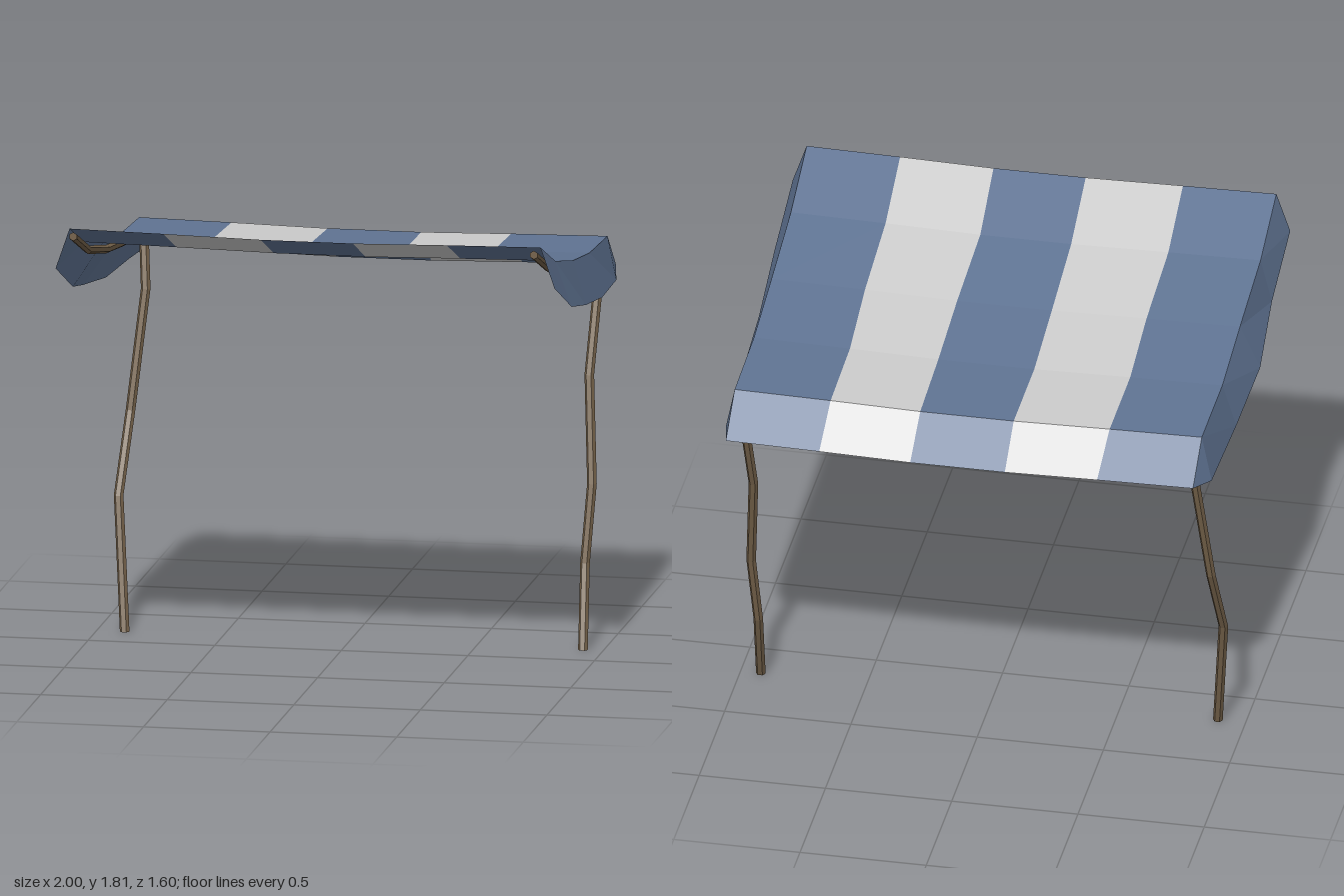
import * as THREE from 'three';

const mat = (color) => new THREE.MeshStandardMaterial({ color, flatShading: true, side: THREE.DoubleSide });
const blue = mat(0x607493), pale = mat(0xcccccc), wood = mat(0x75624a);

function build(name, positions, index, material) {
  let geo = new THREE.BufferGeometry();
  geo.setAttribute('position', new THREE.Float32BufferAttribute(positions.flat(), 3));
  geo.setIndex(index);
  geo = geo.toNonIndexed();
  geo.computeVertexNormals();
  const mesh = new THREE.Mesh(geo, material);
  mesh.name = name;
  return mesh;
}

// Cloth strip between two edge lines that have the same number of points
function strip(name, edgeA, edgeB, material) {
  const n = edgeA.length, index = [];
  for (let i = 0; i < n - 1; i++) index.push(i, n + i, n + i + 1, i, n + i + 1, i + 1);
  return build(name, [...edgeA, ...edgeB], index, material);
}

// Crooked pole whose rings lie square to one axis (0 = x, 1 = y, 2 = z)
function pole(name, path, axis, radius = 0.019, sides = 6) {
  const u = (axis + 1) % 3, v = (axis + 2) % 3;
  const pos = [], index = [];
  for (const p of path) {
    for (let j = 0; j < sides; j++) {
      const a = ((j + 0.5) / sides) * Math.PI * 2;
      const q = [...p];
      q[u] += radius * Math.cos(a);
      q[v] += radius * Math.sin(a);
      pos.push(q);
    }
  }
  for (let i = 0; i < path.length - 1; i++) {
    for (let j = 0; j < sides; j++) {
      const k = (j + 1) % sides, a = i * sides, b = a + sides;
      index.push(a + j, a + k, b + k, a + j, b + k, b + j);
    }
  }
  const end = (path.length - 1) * sides;
  for (let j = 1; j < sides - 1; j++) index.push(0, j + 1, j, end, end + j, end + j + 1);
  return build(name, pos, index, wood);
}

export function createModel() {
  const group = new THREE.Group();
  group.name = 'awning';

  // Sagging profile from the high front edge to the hanging back flap: [z, y]
  const profile = [[0.79, 1.81], [0.48, 1.69], [0.1, 1.61], [-0.27, 1.56], [-0.65, 1.545], [-0.8, 1.4]];

  // Slightly wavy seams between the stripes: x at each profile point
  const seams = [
    [-0.925, -0.925, -0.92, -0.925, -0.92, -0.915],
    [-0.555, -0.56, -0.55, -0.56, -0.555, -0.535],
    [-0.17, -0.175, -0.175, -0.18, -0.175, -0.17],
    [0.195, 0.185, 0.2, 0.2, 0.195, 0.205],
    [0.565, 0.56, 0.565, 0.55, 0.55, 0.565],
    [0.935, 0.935, 0.935, 0.93, 0.93, 0.935],
  ];
  const sag = [0, 0.006, 0.014, 0.014, 0.006, 0];
  const lines = seams.map((xs, s) => xs.map((x, i) => [x, profile[i][1] - sag[s], profile[i][0]]));
  const canopy = new THREE.Group();
  canopy.name = 'canopy';
  for (let s = 0; s < 5; s++) {
    canopy.add(strip('stripe' + (s + 1), lines[s], lines[s + 1], s % 2 ? pale : blue));
  }

  // Side flaps flare outward and close onto the back flap corners
  const hemY = [1.65, 1.51, 1.435, 1.385, 1.372, 1.4];
  const hem = (xs) => xs.map((x, i) => [x, hemY[i], profile[i][0]]);
  const rightHem = hem([-0.98, -0.97, -1.0, -0.98, -0.965, -0.915]);
  const leftHem = hem([0.99, 1.0, 0.985, 0.98, 0.965, 0.935]);
  rightHem[4][2] = -0.68;
  canopy.add(strip('rightFlap', rightHem, lines[0], blue));
  canopy.add(strip('leftFlap', lines[5], leftHem, blue));
  group.add(canopy);

  // Side rails tucked under the canopy
  for (const side of [-1, 1]) {
    const path = profile.slice(0, 5).reverse().map(([z, y]) => [side * 0.91, y - 0.03, z]);
    path[4][2] = 0.795;
    group.add(pole(side < 0 ? 'rightRail' : 'leftRail', path, 2, 0.017));
  }

  // Back beam joining the leg tops
  group.add(pole('backBeam', [[-0.91, 1.512, -0.64], [-0.4, 1.503, -0.64], [0.2, 1.493, -0.64], [0.91, 1.5, -0.64]], 0));

  // Crooked legs leaning backward
  group.add(pole('rightLeg', [[-0.89, 0, -0.185], [-0.94, 0.51, -0.325], [-0.92, 0.82, -0.47],
    [-0.88, 1.28, -0.575], [-0.9, 1.51, -0.64]], 1));
  group.add(pole('leftLeg', [[0.92, 0, -0.185], [0.905, 0.32, -0.31], [0.92, 0.62, -0.375],
    [0.89, 1.03, -0.48], [0.91, 1.51, -0.64]], 1));

  return group;
}
